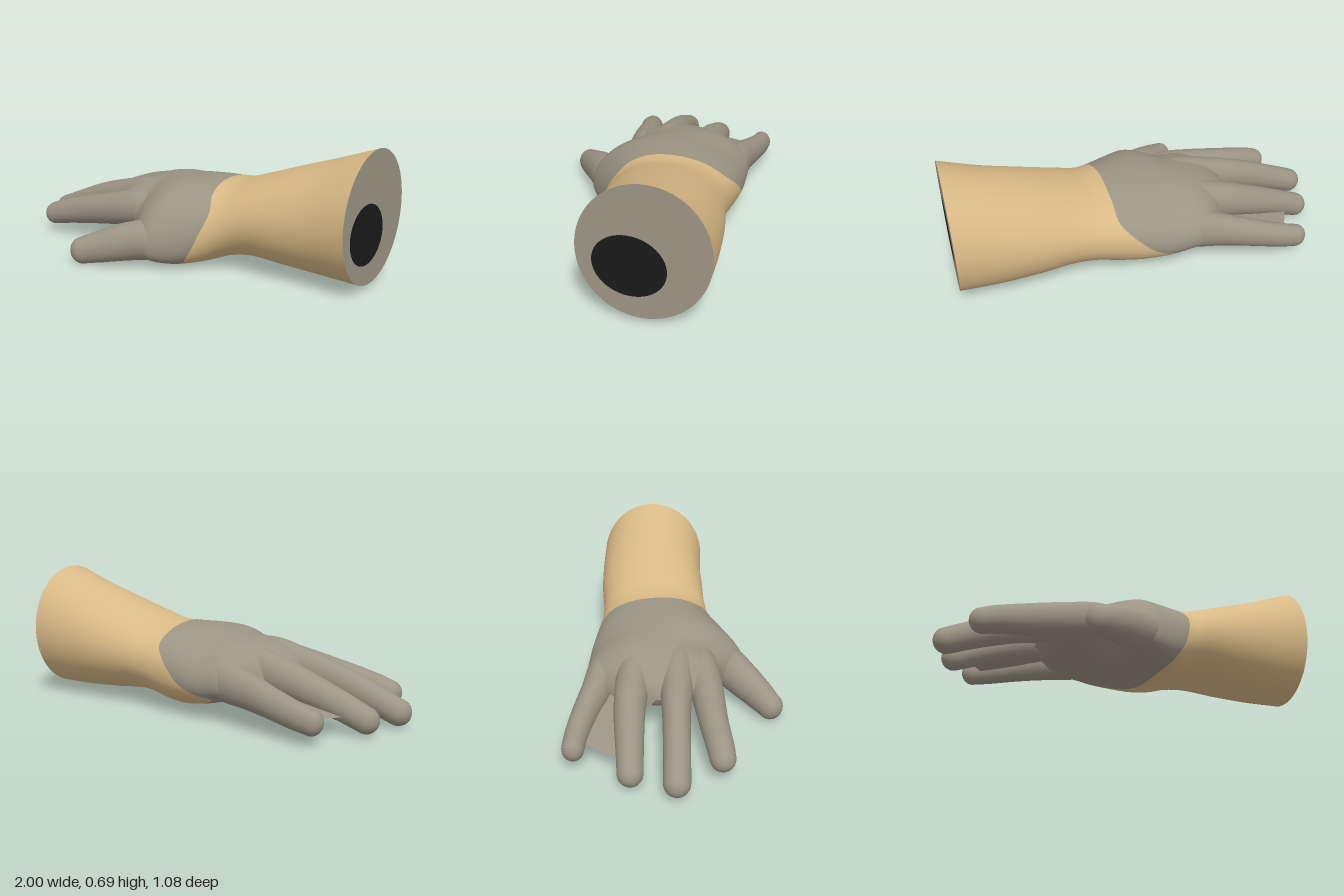
import * as THREE from 'three';

const paint = (name, color) => {
  const m = new THREE.MeshStandardMaterial({ color });
  m.name = name;
  return m;
};

// Skin a list of closed rings (each an array of Vector3) with smooth normals
function loft(rings) {
  const n = rings[0].length, pos = [], idx = [];
  for (const ring of rings) for (const p of ring) pos.push(p.x, p.y, p.z);
  for (let i = 0; i < rings.length - 1; i++) {
    for (let j = 0; j < n; j++) {
      const a = i * n + j, b = i * n + (j + 1) % n;
      idx.push(a, b, a + n, b, b + n, a + n);
    }
  }
  const g = new THREE.BufferGeometry();
  g.setAttribute('position', new THREE.Float32BufferAttribute(pos, 3));
  g.setIndex(idx);
  g.computeVertexNormals();
  return g;
}

// Arm and palm cross-sections: x, z range, y range, droop of the thumb side
const SECTIONS = [
  [-0.47, -0.13, -0.07, 0.21, 0.23, 0],
  [-0.45, -0.22, 0.05, 0.17, 0.28, 0],
  [-0.38, -0.32, 0.13, 0.125, 0.335, 0],
  [-0.3, -0.43, 0.185, 0.108, 0.367, 0],
  [-0.23, -0.465, 0.2, 0.095, 0.387, 0.015],
  [-0.16, -0.468, 0.23, 0.078, 0.4, 0.05],
  [-0.08, -0.467, 0.325, 0.05, 0.413, 0.09],
  [0, -0.463, 0.362, 0.027, 0.425, 0.1],
  [0.1, -0.45, 0.317, 0.008, 0.432, 0.09],
  [0.2, -0.435, 0.253, 0.016, 0.435, 0.065],
  [0.3, -0.425, 0.187, 0.045, 0.445, 0.03],
  [0.42, -0.428, 0.155, 0.055, 0.485, 0],
  [0.6, -0.45, 0.145, 0.043, 0.55, 0],
  [0.8, -0.46, 0.135, 0.033, 0.62, 0],
  [1, -0.46, 0.14, 0.03, 0.695, 0],
];

// Smooth (Hermite) interpolation of one section column at x
function sectionValue(x, k) {
  const S = SECTIONS, last = S.length - 1;
  let i = 0;
  while (i < last - 1 && x > S[i + 1][0]) i++;
  const slope = (j) => {
    const a = S[Math.max(j - 1, 0)], b = S[Math.min(j + 1, last)];
    return (b[k] - a[k]) / (b[0] - a[0]);
  };
  const h = S[i + 1][0] - S[i][0], t = (x - S[i][0]) / h, t2 = t * t, t3 = t2 * t;
  return (2 * t3 - 3 * t2 + 1) * S[i][k] + (t3 - 2 * t2 + t) * h * slope(i)
    + (3 * t2 - 2 * t3) * S[i + 1][k] + (t3 - t2) * h * slope(i + 1);
}

// Point on the arm surface; the palm is a little squarer and sags at both edges
function armPoint(x, angle) {
  const [z0, z1, y0, y1, thumbDroop] = [1, 2, 3, 4, 5].map((k) => sectionValue(x, k));
  const p = THREE.MathUtils.lerp(0.92, 1, THREE.MathUtils.smoothstep(x, 0.1, 0.5));
  const bend = (v) => Math.sign(v) * Math.abs(v) ** p;
  const c = Math.cos(angle);
  const droop = c > 0 ? thumbDroop : 0.045 * (1 - THREE.MathUtils.smoothstep(x, -0.12, 0.2));
  return new THREE.Vector3(x,
    (y0 + y1) / 2 + (y1 - y0) / 2 * bend(Math.sin(angle)) - droop * c * c,
    (z0 + z1) / 2 + (z1 - z0) / 2 * bend(c));
}

// Edge of the glove: x every 30 degrees, from thumb side over the top
const SEAM = [0.235, 0.27, 0.23, 0.21, 0.205, 0.19, 0.06, -0.15, 0.03, 0.1, 0.12, 0.165];
const seamCurve = new THREE.CatmullRomCurve3(
  SEAM.map((x, i) => new THREE.Vector3(x, Math.sin(i * Math.PI / 6), Math.cos(i * Math.PI / 6))), true);

// Arm skin between the seam and a given end, always running towards -x
function armSkin(from, to, steps, sides = 96) {
  const rings = [];
  for (let i = 0; i <= steps; i++) {
    const ring = [];
    for (let j = 0; j < sides; j++) {
      const seam = seamCurve.getPoint(j / sides).x;
      const x = THREE.MathUtils.lerp(from ?? seam, to ?? seam, i / steps);
      ring.push(armPoint(x, j / sides * Math.PI * 2));
    }
    rings.push(ring);
  }
  return loft(rings);
}

// Round-tipped finger through points [x, y, z, half width, half height]
function finger(points, steps = 40, sides = 28) {
  const path = new THREE.CatmullRomCurve3(points.map((p) => new THREE.Vector3(p[0], p[1], p[2])));
  const size = new THREE.CatmullRomCurve3(points.map((p, i) => new THREE.Vector3(p[3], p[4], i * 0.1)));
  const up = new THREE.Vector3(0, 1, 0), rings = [];
  const addRing = (t, scale, push) => {
    const c = path.getPoint(t), r = size.getPoint(t), dir = path.getTangent(t);
    const side = up.clone().cross(dir).normalize(), top = dir.clone().cross(side);
    c.addScaledVector(dir, push * r.x);
    rings.push(Array.from({ length: sides }, (_, j) => {
      const a = j / sides * Math.PI * 2;
      return c.clone().addScaledVector(side, Math.cos(a) * r.x * scale)
        .addScaledVector(top, Math.sin(a) * r.y * scale);
    }));
  };
  for (let i = 0; i <= steps; i++) addRing(i / steps, 1, 0);
  for (let i = 1; i <= 10; i++) {
    const a = i / 10 * Math.PI / 2;
    addRing(1, Math.max(Math.cos(a), 0.002), Math.sin(a));
  }
  return loft(rings);
}

// Each finger starts inside the palm and surfaces gradually
const FINGERS = {
  thumb: [[0.1, 0.15, 0.17, 0.06, 0.07], [0, 0.145, 0.25, 0.1, 0.105], [-0.13, 0.125, 0.34, 0.09, 0.1],
    [-0.24, 0.095, 0.422, 0.076, 0.084], [-0.315, 0.073, 0.475, 0.064, 0.071]],
  indexFinger: [[-0.05, 0.26, 0.1, 0.06, 0.07], [-0.22, 0.24, 0.12, 0.087, 0.095],
    [-0.38, 0.21, 0.146, 0.082, 0.09], [-0.6, 0.165, 0.175, 0.07, 0.079],
    [-0.74, 0.132, 0.2, 0.065, 0.069], [-0.805, 0.112, 0.21, 0.061, 0.063]],
  middleFinger: [[-0.05, 0.29, 0, 0.06, 0.08], [-0.24, 0.273, 0, 0.09, 0.104],
    [-0.4, 0.245, -0.004, 0.082, 0.098], [-0.6, 0.2, -0.004, 0.068, 0.083],
    [-0.8, 0.13, 0, 0.064, 0.071], [-0.937, 0.076, 0, 0.063, 0.066]],
  ringFinger: [[-0.05, 0.28, -0.18, 0.06, 0.08], [-0.24, 0.262, -0.21, 0.09, 0.104],
    [-0.4, 0.235, -0.225, 0.085, 0.098], [-0.56, 0.193, -0.23, 0.076, 0.083],
    [-0.75, 0.125, -0.22, 0.066, 0.07], [-0.868, 0.075, -0.213, 0.061, 0.064]],
  littleFinger: [[-0.03, 0.22, -0.34, 0.07, 0.08], [-0.22, 0.205, -0.382, 0.083, 0.1],
    [-0.36, 0.183, -0.412, 0.073, 0.088], [-0.5, 0.157, -0.45, 0.063, 0.075],
    [-0.65, 0.125, -0.48, 0.056, 0.066], [-0.73, 0.108, -0.487, 0.053, 0.061]],
};

export function createModel() {
  const glove = paint('glove grey', 0x9c9484);
  glove.side = THREE.DoubleSide;
  const sleeve = paint('sleeve tan', 0xd9b986);
  const dark = paint('opening black', 0x1a1a1a);

  const model = new THREE.Group();
  model.name = 'glovedHand';
  const add = (name, geometry, material) => {
    const mesh = new THREE.Mesh(geometry, material);
    mesh.name = name;
    model.add(mesh);
  };

  // Forearm and palm meet along the wavy glove edge
  add('forearm', armSkin(1, null, 40), sleeve);
  add('palm', armSkin(null, -0.47, 44), glove);

  for (const [name, points] of Object.entries(FINGERS)) add(name, finger(points), glove);

  // Thin web between ring and little finger
  const web = new THREE.BufferGeometry().setFromPoints([
    [-0.35, 0.18, -0.4], [-0.35, 0.18, -0.25], [-0.79, 0.09, -0.26], [-0.68, 0.11, -0.46],
  ].map((p) => new THREE.Vector3(...p)));
  web.setIndex([0, 2, 1, 0, 3, 2]);
  web.computeVertexNormals();
  add('fingerWeb', web, glove);

  // Flat cut end with an oval opening
  const rim = new THREE.Shape().absellipse(0.16, 0.3625, 0.3, 0.3325, 0, Math.PI * 2);
  const opening = [0.098, 0.292, 0.168, 0.15, 0, Math.PI * 2, false, -0.4];
  rim.holes.push(new THREE.Path().absellipse(...opening));
  const disc = new THREE.Shape().absellipse(...opening);
  for (const [name, shape, material] of [['cuffRim', rim, glove], ['cuffOpening', disc, dark]]) {
    add(name, new THREE.ShapeGeometry(shape, 64).rotateY(Math.PI / 2).translate(1, 0, 0), material);
  }
  return model;
}
